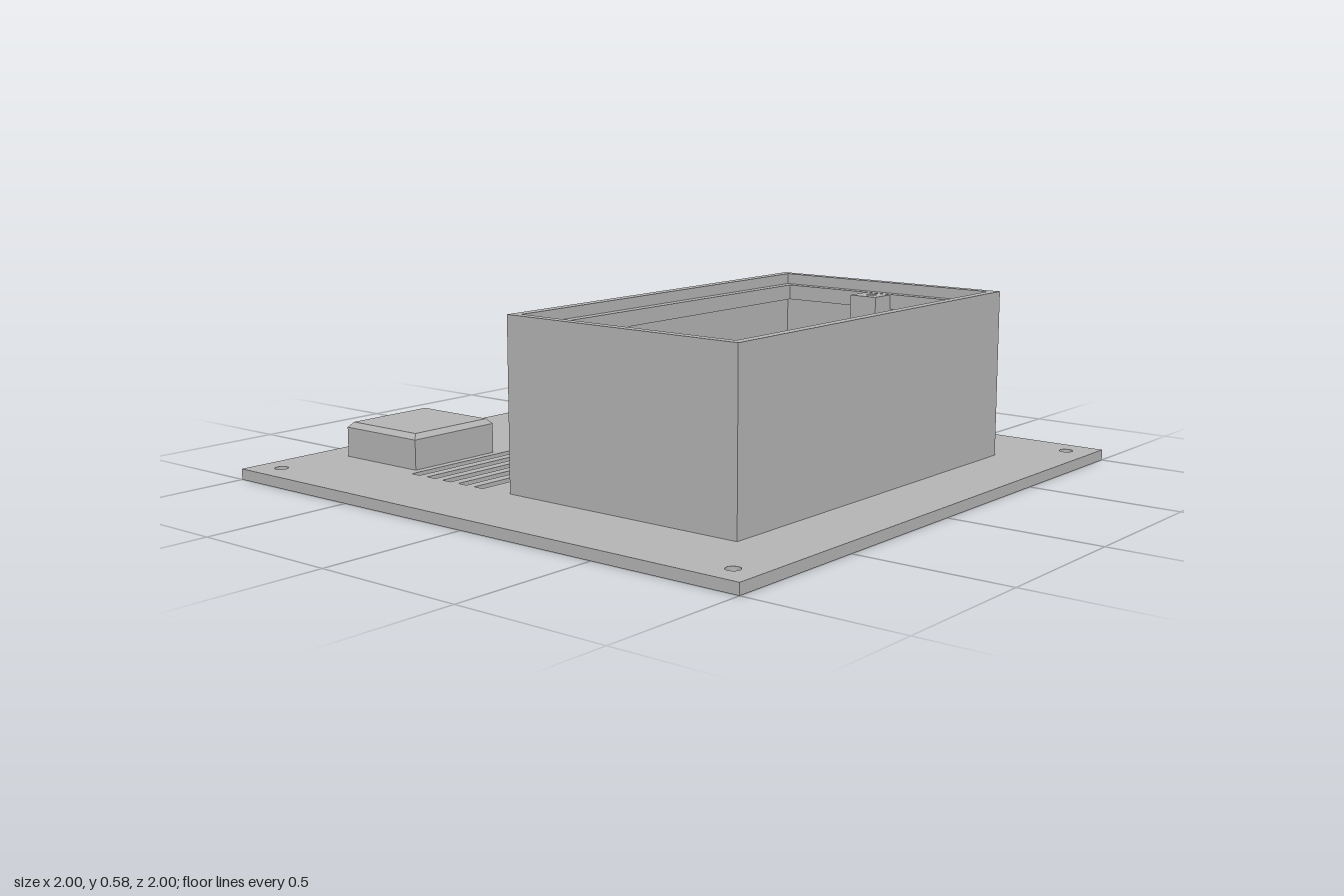
import * as THREE from 'three';

const grey = new THREE.MeshStandardMaterial({ color: 0xb4b4b4 });
grey.name = 'light grey plastic';

// Outline from [x, z] points
const poly = (pts) => pts.map(([x, z]) => new THREE.Vector2(x, z));
const rect = (x0, x1, z0, z1) => poly([[x0, z0], [x1, z0], [x1, z1], [x0, z1]]);
const disc = (x, z, r, n = 24) => Array.from({ length: n }, (_, i) => {
  const a = (i / n) * Math.PI * 2;
  return new THREE.Vector2(x + r * Math.cos(a), z + r * Math.sin(a));
});

function extrude(outline, holes, depth) {
  const shape = new THREE.Shape(outline);
  shape.holes = holes.map((h) => new THREE.Path(h));
  return new THREE.ExtrudeGeometry(shape, { depth, bevelEnabled: false });
}

// Horizontal slab between two heights, with holes through it
function slab(outline, holes, y0, y1) {
  const g = extrude(outline, holes, y1 - y0);
  g.rotateX(Math.PI / 2);
  g.translate(0, y1, 0);
  return g;
}

export function createModel() {
  const model = new THREE.Group();
  model.name = 'ventedPanel';
  const add = (name, geometry) => {
    const m = new THREE.Mesh(geometry, grey);
    m.name = name;
    model.add(m);
    return m;
  };

  const T = 0.035; // plate thickness
  const C = 0.067; // chamfer of the two front inner corners
  const inner = poly([[-0.67, -0.065], [0.67, -0.065], [0.67, 0.73 - C],
    [0.67 - C, 0.73], [-0.67 + C, 0.73], [-0.67, 0.73 - C]]);
  const outer = rect(-0.7, 0.7, -0.098, 0.762);
  const cavity = rect(0.36, 0.62, -0.85, -0.585);

  // Base plate: screw holes, vent slots, main opening, socket cavity
  const holes = [inner, cavity];
  for (const s of [-1, 1]) {
    for (const t of [-1, 1]) holes.push(disc(s * 0.912, t * 0.912, 0.022));
    for (let i = 0; i < 5; i++) {
      const z = -0.51 + i * 0.07;
      const [a, b] = s > 0 ? [0.04, 0.703] : [-0.703, -0.04];
      holes.push(rect(a, b, z - 0.018, z + 0.018));
    }
  }
  add('basePlate', slab(rect(-1, 1, -1, 1), holes, 0, T));

  // Open box: walls, inward ledge, recessed rim
  add('boxWalls', slab(outer, [inner], T, 0.495));
  add('boxLedge', slab(outer, [rect(-0.64, 0.64, -0.035, 0.7)], 0.495, 0.545));
  add('boxRim', slab(outer, [rect(-0.67, 0.67, -0.065, 0.732)], 0.545, 0.58));

  // Screw tabs on the side walls
  for (const s of [-1, 1]) {
    const [a, b] = s > 0 ? [0.55, 0.67] : [-0.67, -0.55];
    add('screwTab', slab(rect(a, b, 0.28, 0.38), [disc(s * 0.602, 0.33, 0.018, 16)], 0.465, 0.544));
  }

  // Hollow bosses with gussets on the inside of the front wall
  for (const x of [-0.05, 0.5]) {
    for (const y of [0.14, 0.43]) {
      const boss = extrude(disc(0, 0, 0.045), [disc(0, 0, 0.02, 16)], 0.125);
      boss.translate(x, y, 0.61);
      add('boss', boss);
      const rib = extrude(poly([[0.63, -0.03], [0.735, -0.13], [0.735, -0.03]]), [], 0.03);
      rib.rotateY(-Math.PI / 2);
      rib.translate(x + 0.015, y, 0);
      add('bossGusset', rib);
    }
  }

  // Raised blocks with chamfered tops; the one at +x is hollow underneath
  for (const s of [-1, 1]) {
    const cx = s * 0.49, cz = -0.717, w = 0.345, d = 0.325;
    const body = rect(cx - w / 2, cx + w / 2, cz - d / 2, cz + d / 2);
    add('raisedBlock', slab(body, s > 0 ? [cavity] : [], T, 0.133));
    const cap = new THREE.CylinderGeometry(0.91 / Math.SQRT2, 1 / Math.SQRT2, 0.017, 4, 1, false, Math.PI / 4).toNonIndexed();
    cap.scale(w, 1, d);
    cap.computeVertexNormals();
    cap.translate(cx, 0.1415, cz);
    add('raisedBlockTop', cap);
  }

  // Screw posts inside the hollow block
  for (const x of [0.42, 0.55]) {
    add('cavityPost', slab(disc(x, -0.655, 0.042), [disc(x, -0.655, 0.022, 16)], 0.03, 0.133));
  }

  return model;
}
